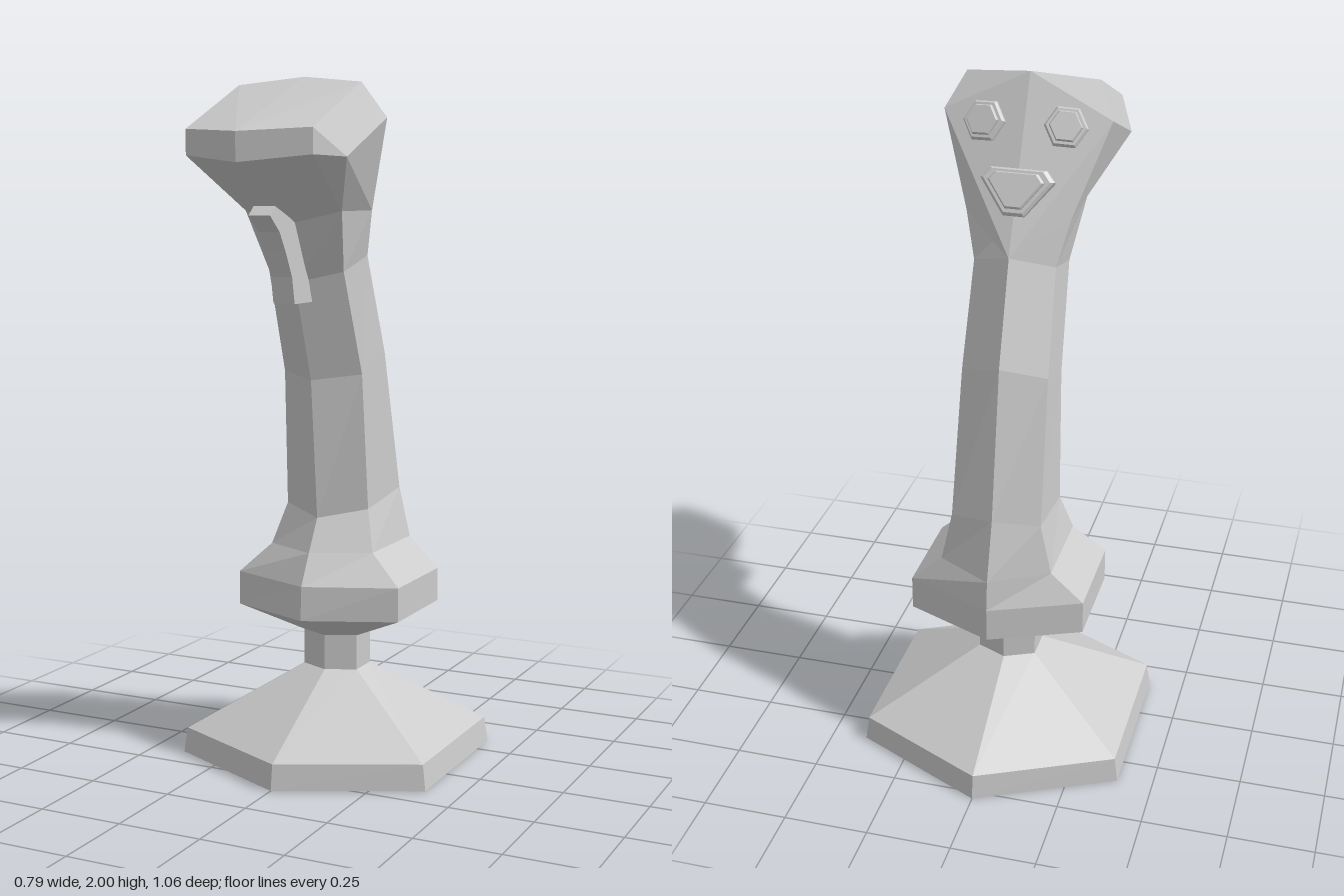
import * as THREE from 'three';
import { ConvexGeometry } from 'three/addons/geometries/ConvexGeometry.js';

const material = new THREE.MeshStandardMaterial({ color: 0xcccccc, flatShading: true });

function part(geometry, name) {
  const mesh = new THREE.Mesh(geometry, material);
  mesh.name = name;
  return mesh;
}

// Joins rings of [x, y, z] points (listed from low to high) and caps both ends
function loft(rings) {
  const pos = [];
  const tri = (a, b, c) => pos.push(...a, ...b, ...c);
  const n = rings[0].length;
  for (let r = 0; r < rings.length - 1; r++) {
    for (let i = 0; i < n; i++) {
      const j = (i + 1) % n;
      const a = rings[r], b = rings[r + 1];
      tri(a[i], a[j], b[j]);
      tri(a[i], b[j], b[i]);
    }
  }
  const low = rings[0], high = rings[rings.length - 1];
  for (let i = 1; i < n - 1; i++) {
    tri(low[0], low[i + 1], low[i]);
    tri(high[0], high[i], high[i + 1]);
  }
  const geometry = new THREE.BufferGeometry();
  geometry.setAttribute('position', new THREE.Float32BufferAttribute(pos, 3));
  geometry.computeVertexNormals();
  return geometry;
}

// Mirrored hexagon: half width, then [z, y] of front, front side, back side, back
const hex = (w, [fz, fy], [sz, sy], [tz, ty], [bz, by]) => [
  [0, fy, fz], [w, sy, sz], [w, ty, tz], [0, by, bz], [-w, ty, tz], [-w, sy, sz],
];
const levelHex = (y, w, f, s, t, b) => hex(w, [f, y], [s, y], [t, y], [b, y]);

// Button from an outline in x/z, stepped into a collar and a smaller cap
function button(outline, name) {
  const ring = (scale, y) => outline.map(([x, z]) => [x * scale, y, z * scale]);
  const group = new THREE.Group();
  group.name = name;
  group.add(part(loft([ring(1, -0.02), ring(1, 0.01), ring(0.9, 0.018)]), name + 'Collar'));
  group.add(part(loft([ring(0.76, 0), ring(0.76, 0.025), ring(0.7, 0.031)]), name + 'Cap'));
  group.rotation.x = -1.1;
  return group;
}

export function createModel() {
  const model = new THREE.Group();

  // Foot and neck
  model.add(part(loft([
    levelHex(0, 0.395, 0.35, 0.16, -0.34, -0.53),
    levelHex(0.075, 0.385, 0.34, 0.155, -0.335, -0.52),
    levelHex(0.265, 0.087, 0, -0.04, -0.135, -0.175),
  ]), 'base'));
  model.add(part(loft([
    levelHex(0.255, 0.087, 0, -0.04, -0.135, -0.175),
    levelHex(0.38, 0.087, 0, -0.04, -0.135, -0.175),
  ]), 'neck'));

  // Flared collar and leaning grip
  model.add(part(loft([
    levelHex(0.37, 0.087, 0, -0.04, -0.135, -0.175),
    levelHex(0.45, 0.26, 0.16, 0.05, -0.25, -0.36),
    levelHex(0.55, 0.26, 0.155, 0.05, -0.25, -0.36),
    hex(0.165, [0.105, 0.64], [0.02, 0.64], [-0.255, 0.64], [-0.35, 0.64]),
    hex(0.132, [0.05, 0.735], [-0.02, 0.76], [-0.25, 0.79], [-0.295, 0.81]),
    hex(0.125, [0.09, 1.145], [0.01, 1.16], [-0.15, 1.21], [-0.21, 1.25]),
    hex(0.118, [0.19, 1.43], [0.12, 1.46], [-0.04, 1.5], [-0.105, 1.54]),
    hex(0.15, [0.27, 1.59], [0.2, 1.63], [0, 1.63], [-0.06, 1.63]),
  ]), 'grip'));

  // Faceted head
  const headPoints = [
    [0, 2, 0.125], [0, 1.84, 0.53], [0, 1.76, 0.53], [0, 1.59, 0.27], [0, 1.54, -0.107],
  ].map((p) => new THREE.Vector3(...p));
  for (const s of [1, -1]) {
    for (const [x, y, z] of [
      [0.19, 1.98, 0.16], [0.19, 1.85, 0.46], [0.19, 1.78, 0.46],
      [0.24, 1.885, 0.1], [0.24, 1.775, 0.36],
      [0.15, 1.63, 0.2], [0.15, 1.63, 0],
    ]) headPoints.push(new THREE.Vector3(s * x, y, z));
  }
  model.add(part(new ConvexGeometry(headPoints), 'head'));

  // Curved trigger, drawn in z/y and extruded across x
  const profile = new THREE.Shape([
    [0.37, 1.645], [0.25, 1.6], [0.15, 1.45], [0.145, 1.375], [0.257, 1.375],
    [0.272, 1.45], [0.31, 1.52], [0.345, 1.575], [0.4, 1.62],
  ].map((p) => new THREE.Vector2(...p)));
  const trigger = new THREE.ExtrudeGeometry(profile, { depth: 0.066, bevelEnabled: false });
  trigger.translate(0, 0, -0.033).rotateY(-Math.PI / 2);
  model.add(part(trigger, 'trigger'));

  // Two hexagonal buttons and a triangular one on the sloping back of the head
  const hexOutline = Array.from({ length: 6 }, (_, i) => {
    const a = Math.PI / 6 + (i * Math.PI) / 3;
    return [0.062 * Math.sin(a), 0.062 * Math.cos(a)];
  });
  for (const s of [1, -1]) {
    const b = button(hexOutline, s > 0 ? 'leftButton' : 'rightButton');
    b.position.set(s * 0.115, 1.865, 0.075);
    b.rotation.z = -s * 0.14;
    model.add(b);
  }
  const triangle = button([
    [0.08, 0.055], [0.105, 0.025], [0.03, -0.075], [-0.03, -0.075], [-0.105, 0.025], [-0.08, 0.055],
  ], 'thumbButton');
  triangle.position.set(0, 1.71, -0.018);
  model.add(triangle);

  return model;
}
